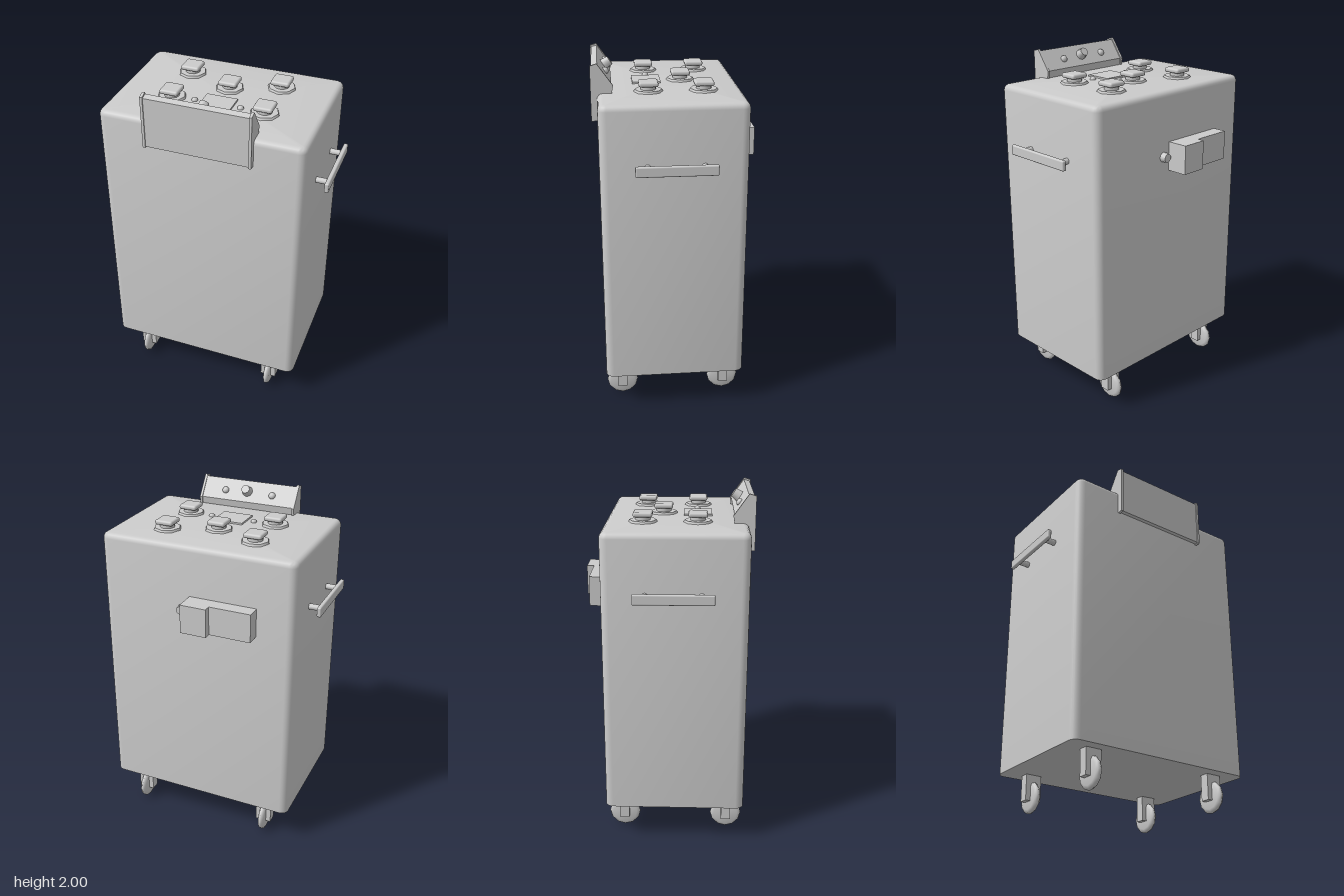
import * as THREE from 'three';
import { toCreasedNormals } from 'three/addons/utils/BufferGeometryUtils.js';
import { RoundedBoxGeometry } from 'three/addons/geometries/RoundedBoxGeometry.js';

const material = new THREE.MeshStandardMaterial({ color: 0xcccccc });
const smooth = (geometry, angle = 0.7) => toCreasedNormals(geometry, angle);

function add(parent, name, geometry, x = 0, y = 0, z = 0) {
  const mesh = new THREE.Mesh(geometry, material);
  mesh.name = name;
  mesh.position.set(x, y, z);
  parent.add(mesh);
  return mesh;
}

// Outline of a rectangle with rounded corners, as [x, z] points
function roundedOutline(halfX, halfZ, radius, steps = 5) {
  const points = [];
  for (let corner = 0; corner < 4; corner++) {
    const sx = corner === 0 || corner === 3 ? 1 : -1;
    const sz = corner < 2 ? 1 : -1;
    for (let i = 0; i <= steps; i++) {
      const a = (corner + i / steps) * Math.PI / 2;
      points.push([
        sx * (halfX - radius) + Math.cos(a) * radius,
        sz * (halfZ - radius) + Math.sin(a) * radius,
      ]);
    }
  }
  return points;
}

// Cabinet shell: square lower edge, softly rounded top edge
function cabinetGeometry(halfX, halfZ, y0, y1, radius, bevel) {
  const rings = [[y0, 0]];
  for (let i = 0; i <= 4; i++) {
    const a = i / 4 * Math.PI / 2;
    rings.push([y1 - bevel + Math.sin(a) * bevel, bevel * (1 - Math.cos(a))]);
  }
  const positions = [], index = [];
  let n = 0;
  for (const [y, inset] of rings) {
    const outline = roundedOutline(halfX - inset, halfZ - inset, radius - inset);
    n = outline.length;
    for (const [x, z] of outline) positions.push(x, y, z);
  }
  const top = (rings.length - 1) * n;
  const bottomCentre = rings.length * n;
  positions.push(0, y0, 0, 0, y1, 0);
  for (let i = 0; i < n; i++) {
    const j = (i + 1) % n;
    for (let r = 0; r < top; r += n) {
      index.push(r + i, r + n + i, r + j, r + j, r + n + i, r + n + j);
    }
    index.push(bottomCentre, i, j, bottomCentre + 1, top + j, top + i);
  }
  const geometry = new THREE.BufferGeometry();
  geometry.setAttribute('position', new THREE.Float32BufferAttribute(positions, 3));
  geometry.setIndex(index);
  return smooth(geometry);
}

// Extrude a [z, y] profile along x, centred on x = 0
function profileGeometry(points, width) {
  const shape = new THREE.Shape(points.map(([z, y]) => new THREE.Vector2(-z, y)));
  const geometry = new THREE.ExtrudeGeometry(shape, { depth: width, bevelEnabled: false });
  geometry.translate(0, 0, -width / 2);
  geometry.rotateY(Math.PI / 2);
  return geometry;
}

function createCaster(x, z) {
  const caster = new THREE.Group();
  caster.name = 'caster';
  const profile = [[0, -0.018], [0.07, -0.018], [0.086, -0.012], [0.092, 0],
    [0.086, 0.012], [0.07, 0.018], [0, 0.018]].map(([r, y]) => new THREE.Vector2(r, y));
  const wheel = new THREE.LatheGeometry(profile, 12);
  wheel.rotateZ(Math.PI / 2);
  add(caster, 'wheel', smooth(wheel, 0.9), 0, 0.093, 0);
  add(caster, 'casterFork', new THREE.BoxGeometry(0.095, 0.16, 0.055), 0, 0.15, 0);
  caster.position.set(x, 0, z);
  return caster;
}

function createHandle(side) {
  const handle = new THREE.Group();
  handle.name = side > 0 ? 'leftHandle' : 'rightHandle';
  add(handle, 'handleBar', new RoundedBoxGeometry(0.025, 0.058, 0.44, 2, 0.008),
    side * 0.658, 1.505, 0.04);
  for (const z of [-0.115, 0.19]) {
    const post = new THREE.CylinderGeometry(0.017, 0.017, 0.08, 12);
    add(handle, 'handlePost', post.rotateZ(Math.PI / 2), side * 0.612, 1.503, z);
  }
  return handle;
}

function createKnob(x, z) {
  const knob = new THREE.Group();
  knob.name = 'topKnob';
  add(knob, 'knobFlange', new THREE.CylinderGeometry(0.076, 0.082, 0.015, 8), 0, 0.006, 0);
  add(knob, 'knobNeck', smooth(new THREE.CylinderGeometry(0.043, 0.043, 0.035, 12)), 0, 0.02, 0);
  add(knob, 'knobCap', new RoundedBoxGeometry(0.108, 0.028, 0.108, 2, 0.012), 0, 0.046, 0);
  knob.position.set(x, 1.837, z);
  return knob;
}

function createConsole() {
  const console = new THREE.Group();
  console.name = 'controlConsole';
  add(console, 'consoleBody', profileGeometry(
    [[0.474, 1.69], [0.474, 1.98], [0.44, 1.99], [0.365, 1.88], [0.372, 1.84], [0.45, 1.69]], 0.59));
  for (const x of [-0.298, 0.298]) {
    add(console, 'consoleEndPlate', profileGeometry(
      [[0.48, 1.685], [0.48, 1.988], [0.442, 2], [0.357, 1.88], [0.364, 1.84], [0.448, 1.685]], 0.015), x);
  }
  // Controls on the slope facing backwards
  const tilt = -0.97;
  const dial = add(console, 'consoleDial', new THREE.CylinderGeometry(0.026, 0.034, 0.05, 8),
    0.008, 1.945, 0.388);
  dial.rotation.x = tilt;
  for (const x of [-0.153, 0.148]) {
    const button = add(console, 'consoleButton', new THREE.SphereGeometry(0.021, 12, 8), x, 1.93, 0.395);
    button.scale.y = 0.8;
    button.rotation.x = tilt;
  }
  return console;
}

export function createModel() {
  const model = new THREE.Group();
  model.name = 'wheeledCabinet';

  add(model, 'cabinet', cabinetGeometry(0.584, 0.401, 0.22, 1.838, 0.045, 0.032), 0, 0, 0.045);
  for (const x of [-0.413, 0.413]) {
    for (const z of [-0.257, 0.35]) model.add(createCaster(x, z));
  }
  for (const side of [-1, 1]) model.add(createHandle(side));

  // Top controls
  const knobs = [[-0.265, -0.14], [0.272, -0.14], [0, -0.035], [-0.265, 0.165], [0.272, 0.165]];
  for (const [x, z] of knobs) model.add(createKnob(x, z));
  add(model, 'topScreen', new THREE.BoxGeometry(0.18, 0.02, 0.162), 0, 1.838, 0.164);
  for (const x of [-0.133, 0.133]) {
    add(model, 'topButton', new THREE.SphereGeometry(0.018, 12, 8), x, 1.838, 0.16);
  }
  model.add(createConsole());

  // Stepped housing and stud on the back wall
  add(model, 'backHousingDeep', new THREE.BoxGeometry(0.155, 0.168, 0.14), -0.043, 1.463, -0.41);
  add(model, 'backHousingShallow', new THREE.BoxGeometry(0.25, 0.168, 0.1), -0.24, 1.463, -0.388);
  const stud = new THREE.CylinderGeometry(0.025, 0.031, 0.05, 12);
  add(model, 'backStud', stud.rotateX(-Math.PI / 2), 0.078, 1.466, -0.365);
  return model;
}
